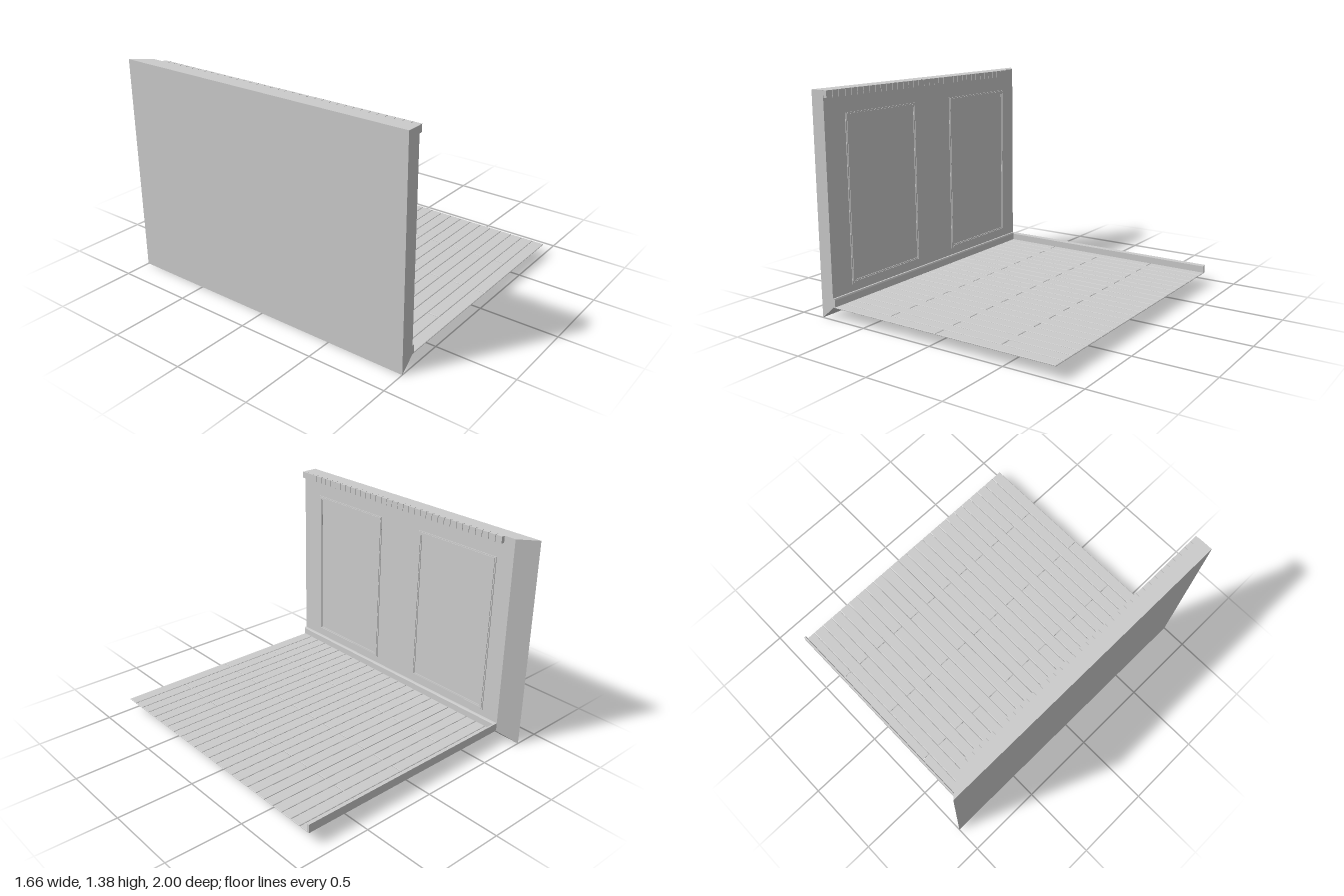
import * as THREE from 'three';

const material = new THREE.MeshStandardMaterial({ color: 0xcccccc, flatShading: true, side: THREE.DoubleSide });

// Main planes of the room corner
const OUTER = -0.832, INNER = -0.74, RIGHT = 0.832;
const BACK = -0.887, FRONT = 1, FLOOR = 0.082, TOP = 1.38;

function add(parent, name, geometry, x = 0, y = 0, z = 0) {
  const mesh = new THREE.Mesh(geometry, material);
  mesh.name = name;
  mesh.position.set(x, y, z);
  parent.add(mesh);
  return mesh;
}

function rectPath(path, w, h) {
  path.moveTo(-w / 2, -h / 2);
  path.lineTo(w / 2, -h / 2);
  path.lineTo(w / 2, h / 2);
  path.lineTo(-w / 2, h / 2);
  path.closePath();
  return path;
}

// Wall slab, mitred along its bottom and back edges
function wallGeometry() {
  const g = new THREE.BoxGeometry(1, 1, 1);
  const p = g.attributes.position;
  for (let i = 0; i < p.count; i++) {
    const inner = p.getX(i) > 0;
    const y = p.getY(i) > 0 ? TOP : inner ? FLOOR - 0.004 : 0;
    const z = p.getZ(i) > 0 ? FRONT : inner ? BACK : -1;
    p.setXYZ(i, inner ? INNER : OUTER, y, z);
  }
  g.computeVertexNormals();
  return g;
}

// Floor board with fine chamfers, lying flat
function plankGeometry(length, width) {
  const bevel = 0.003, gap = 0.003;
  const shape = rectPath(new THREE.Shape(), length - gap - 2 * bevel, width - gap - 2 * bevel);
  const g = new THREE.ExtrudeGeometry(shape, {
    depth: 0.003, bevelEnabled: true, bevelSize: bevel, bevelThickness: 0.002, bevelSegments: 1,
  });
  return g.rotateX(-Math.PI / 2);
}

// Skirting with an eased top edge; profile is depth by height
function skirtingGeometry(length) {
  const shape = new THREE.Shape();
  shape.moveTo(0, 0);
  shape.lineTo(0.016, 0);
  shape.lineTo(0.016, 0.045);
  shape.lineTo(0.011, 0.054);
  shape.lineTo(0, 0.054);
  shape.closePath();
  return new THREE.ExtrudeGeometry(shape, { depth: length, bevelEnabled: false });
}

// Rectangular picture-frame moulding, facing +x
function frameGeometry(w, h, border, depth) {
  const shape = rectPath(new THREE.Shape(), w, h);
  shape.holes.push(rectPath(new THREE.Path(), w - 2 * border, h - 2 * border));
  const g = new THREE.ExtrudeGeometry(shape, { depth, bevelEnabled: false });
  return g.rotateY(Math.PI / 2);
}

export function createModel() {
  const model = new THREE.Group();
  model.name = 'roomCorner';

  add(model, 'wall', wallGeometry());

  // Staggered floor boards
  const floor = new THREE.Group();
  floor.name = 'floor';
  model.add(floor);
  const rows = 24, pitch = (FRONT - BACK) / rows;
  const length = (RIGHT - INNER) / 2;
  const full = plankGeometry(length, pitch);
  const half = plankGeometry(length / 2, pitch);
  for (let r = 0; r < rows; r++) {
    const z = FRONT - (r + 0.5) * pitch;
    const pieces = r % 2 === 0 ? [[full, 0.5], [full, 1.5]] : [[half, 0.25], [full, 1], [half, 1.75]];
    for (const [g, at] of pieces) add(floor, 'plank', g, INNER + at * length, FLOOR - 0.003, z);
  }

  // Skirting boards along the wall and across the back
  add(model, 'wallSkirting', skirtingGeometry(FRONT - BACK), INNER, FLOOR, BACK);
  const back = add(model, 'backSkirting', skirtingGeometry(RIGHT - INNER), RIGHT, FLOOR, BACK);
  back.rotation.y = -Math.PI / 2;

  // Two framed wall panels, each frame stepped in two layers
  for (const z of [0.52, -0.45]) {
    const panel = new THREE.Group();
    panel.name = 'wallPanel';
    panel.position.set(INNER, 0.708, z);
    model.add(panel);
    add(panel, 'outerFrame', frameGeometry(0.63, 1.055, 0.026, 0.005));
    add(panel, 'innerFrame', frameGeometry(0.615, 1.04, 0.011, 0.009));
  }

  // Row of small blocks under the top edge of the wall
  const cornice = new THREE.Group();
  cornice.name = 'cornice';
  model.add(cornice);
  const blocks = 36, step = (FRONT + 0.81) / blocks;
  const block = new THREE.BoxGeometry(0.024, 0.044, step - 0.004);
  for (let i = 0; i < blocks; i++) {
    add(cornice, 'corniceBlock', block, INNER + 0.012, TOP - 0.022, FRONT - (i + 0.5) * step);
  }

  return model;
}
